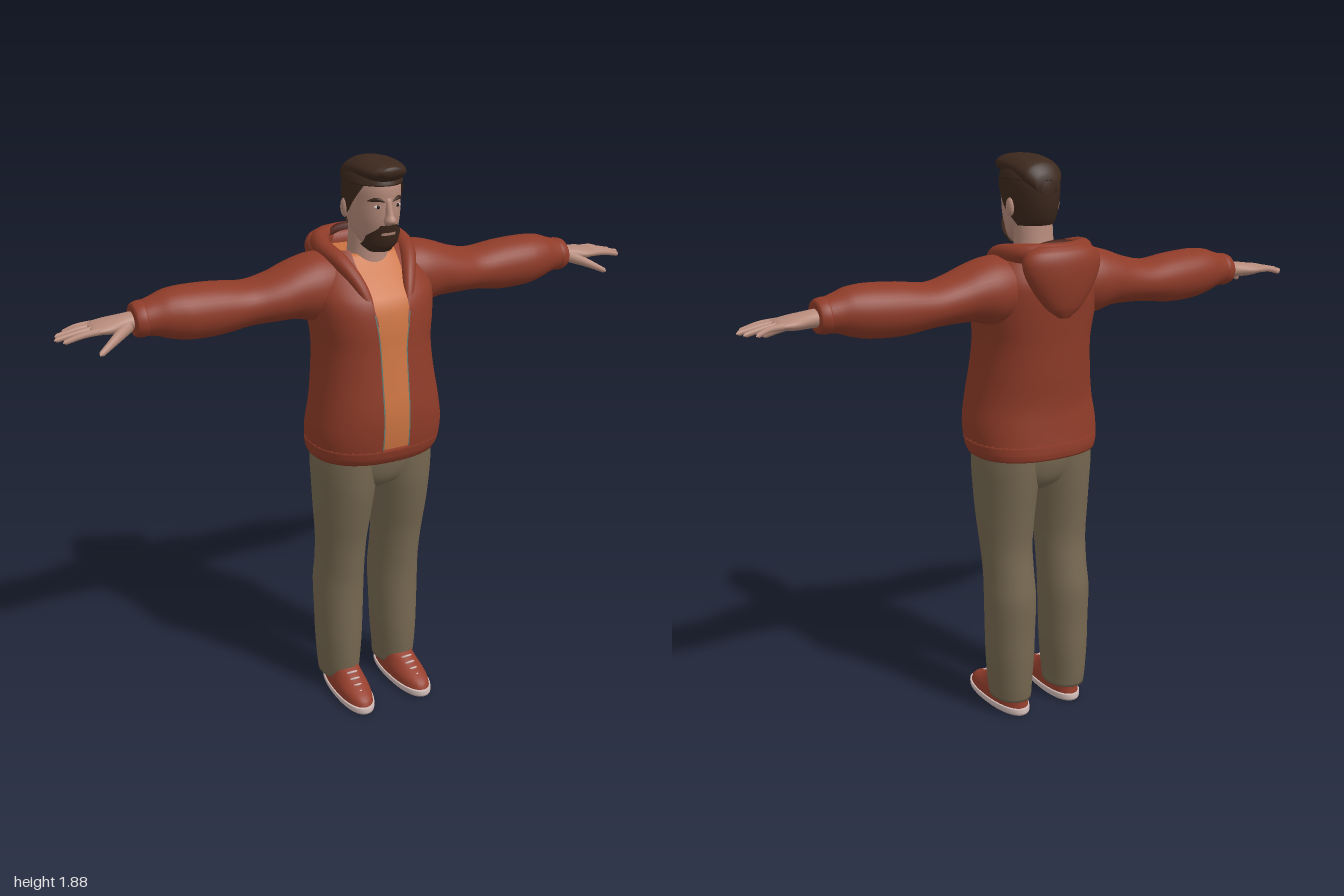
import * as THREE from 'three';

const paint = (name, color, side = THREE.FrontSide) => {
  const m = new THREE.MeshStandardMaterial({ color, side });
  m.name = name;
  return m;
};

const mix = THREE.MathUtils.lerp;
const TAU = Math.PI * 2;

// Smooth value of a section list [t, centreU, centreV, radiusU, radiusV] at t
function sectionAt(list, t) {
  let i = 0;
  while (i < list.length - 2 && t > list[i + 1][0]) i++;
  const [a, b] = [list[i], list[i + 1]];
  const p = list[Math.max(i - 1, 0)], q = list[Math.min(i + 2, list.length - 1)];
  const d = b[0] - a[0], u = (t - a[0]) / d;
  return a.map((v, k) => {
    const m0 = (b[k] - p[k]) / (b[0] - p[0]) * d, m1 = (q[k] - v) / (q[0] - a[0]) * d;
    return v * (1 + u * u * (2 * u - 3)) + b[k] * u * u * (3 - 2 * u)
      + m0 * u * (1 - u) ** 2 + m1 * u * u * (u - 1);
  });
}

// Skin over cross-sections along an axis (0 x, 1 y, 2 z); an arc leaves the surface open
function loft(list, { axis = 1, n = 36, sub = 4, pow = 1, grow = 0, from, to, arc } = {}) {
  const lo = from ?? list[0][0], hi = to ?? list.at(-1)[0];
  const ts = [lo];
  for (let i = 0; i < list.length - 1; i++)
    for (let k = 0; k < sub; k++) {
      const t = mix(list[i][0], list[i + 1][0], k / sub);
      if (t > lo + 1e-4 && t < hi - 1e-4) ts.push(t);
    }
  ts.push(hi);
  const pos = [], idx = [], U = (axis + 1) % 3, V = (axis + 2) % 3;
  const bend = (v) => Math.sign(v) * Math.abs(v) ** pow;
  const ring = (t, size) => {
    const [, cu, cv, ru, rv] = sectionAt(list, t);
    const [a0, a1] = arc ? arc(t, rv) : [0, TAU];
    for (let j = 0; j <= n; j++) {
      const a = mix(a0, a1, j / n), p = [0, 0, 0];
      p[axis] = t;
      p[U] = cu + size * (ru + grow) * bend(Math.cos(a));
      p[V] = cv + size * (rv + grow) * bend(Math.sin(a));
      pos.push(...p);
    }
  };
  if (!arc) ring(lo, 0);
  ts.forEach((t) => ring(t, 1));
  if (!arc) ring(hi, 0);
  const w = n + 1, rows = pos.length / 3 / w;
  const at = (i, j) => i * w + (arc ? j : j % n);
  for (let i = 0; i < rows - 1; i++)
    for (let j = 0; j < n; j++) {
      const a = at(i, j), b = at(i, j + 1), c = at(i + 1, j), d = at(i + 1, j + 1);
      idx.push(a, b, d, a, d, c);
    }
  const g = new THREE.BufferGeometry();
  g.setAttribute('position', new THREE.Float32BufferAttribute(pos, 3));
  g.setIndex(idx);
  g.computeVertexNormals();
  return g;
}

// Tube whose radius follows a function of its length
function taperTube(points, radius, steps = 16, sides = 10) {
  const curve = new THREE.CatmullRomCurve3(points.map((p) => new THREE.Vector3(...p)));
  const g = new THREE.TubeGeometry(curve, steps, 1, sides);
  const v = new THREE.Vector3(), P = g.attributes.position;
  for (let i = 0; i < P.count; i++) {
    const u = Math.floor(i / (sides + 1)) / steps, c = curve.getPointAt(u);
    v.fromBufferAttribute(P, i).sub(c).multiplyScalar(radius(u)).add(c);
    P.setXYZ(i, v.x, v.y, v.z);
  }
  return g;
}

export function createModel() {
  const jacket = paint('jacket red', 0x8e3b28, THREE.DoubleSide);
  const lining = paint('hood lining', 0x4a2118);
  const shirt = paint('shirt orange', 0xcc7442);
  const zip = paint('zip grey green', 0x5f7a72, THREE.DoubleSide);
  const trousers = paint('trouser khaki', 0x766851);
  const skin = paint('skin', 0xb58a7a, THREE.DoubleSide);
  const hair = paint('hair brown', 0x3c281d, THREE.DoubleSide);
  const shoe = paint('shoe red', 0x963f2d);
  const pale = paint('sole white', 0xd2bcb8);
  const dark = paint('pupil dark', 0x1c1512);

  const model = new THREE.Group();
  const add = (name, geometry, material, parent = model) => {
    const m = new THREE.Mesh(geometry, material);
    m.name = name;
    parent.add(m);
    return m;
  };
  const ball = (name, material, parent, p, s) => {
    const m = add(name, new THREE.SphereGeometry(1, 16, 12), material, parent);
    m.position.set(...p);
    m.scale.set(...s);
  };

  // Torso: open jacket over a shirt
  const torso = [
    [0.925, 0.02, 0, 0.172, 0.213], [0.95, 0.025, 0, 0.18, 0.22], [1.02, 0.035, 0, 0.182, 0.223],
    [1.1, 0.04, 0, 0.18, 0.21], [1.2, 0.03, 0, 0.178, 0.195], [1.3, 0.02, 0, 0.175, 0.188],
    [1.38, 0.012, 0, 0.175, 0.198], [1.45, 0, 0, 0.168, 0.205], [1.5, -0.02, 0, 0.145, 0.2],
    [1.55, -0.035, 0, 0.11, 0.175], [1.59, -0.045, 0, 0.085, 0.13]];
  const pow = 0.85;
  const angle = (w, rv) => Math.asin(Math.min(1, w / rv) ** (1 / pow));
  const edge = (t, base) => mix(base, 0.075, THREE.MathUtils.smoothstep(t, 1.28, 1.56));
  add('jacketHem', loft(torso, { pow, n: 48, to: 0.978 }), jacket);
  add('jacketBody', loft(torso, {
    pow, n: 60, from: 0.975,
    arc: (t, rv) => [angle(edge(t, 0.037), rv), TAU - angle(edge(t, 0.052), rv)],
  }), jacket);
  add('shirt', loft(torso, { pow, n: 60, grow: -0.008, from: 0.95, to: 1.578 }), shirt);
  for (const [s, base] of [[1, 0.037], [-1, 0.052]])
    add('zip', loft(torso, {
      pow, n: 2, grow: 0.001, from: 0.98, to: 1.42,
      arc: (t, rv) => [-0.002, 0.002].map((d) => s * angle(edge(t, base) + s * d, rv)),
    }), zip);

  // Hood: collar roll and hanging bag
  const half = [[0.05, 1.38, 0.172], [0.085, 1.5, 0.115], [0.118, 1.565, 0.045],
    [0.132, 1.588, -0.04], [0.1, 1.595, -0.125]];
  const flip = (pts) => pts.map(([x, y, z]) => [-x, y, z]).reverse();
  add('hoodCollar', taperTube([...half, [0, 1.595, -0.165], ...flip(half)],
    (u) => 0.004 + 0.028 * Math.sin(Math.PI * u) ** 0.6, 60, 14), jacket);
  add('hoodBag', loft([
    [1.395, -0.18, 0, 0.01, 0.02], [1.43, -0.175, 0, 0.032, 0.065], [1.5, -0.168, 0, 0.052, 0.115],
    [1.56, -0.163, 0, 0.058, 0.138], [1.6, -0.16, 0, 0.05, 0.125], [1.62, -0.16, 0, 0.028, 0.085]]), jacket);
  add('hoodLining', taperTube([[0.09, 1.6, -0.1], [0.06, 1.61, -0.13], [0, 1.613, -0.142],
    [-0.06, 1.61, -0.13], [-0.09, 1.6, -0.1]], (u) => 0.002 + 0.018 * Math.sin(Math.PI * u), 24), lining);

  // Head and neck
  add('neck', loft([[1.5, 0, 0, 0.068, 0.075], [1.56, 0, 0, 0.064, 0.068],
    [1.62, 0.004, 0, 0.06, 0.064], [1.69, 0.01, 0, 0.06, 0.064]]), skin);
  const head = [
    [1.597, 0.08, 0, 0.022, 0.026], [1.62, 0.066, 0, 0.052, 0.05], [1.66, 0.042, 0, 0.088, 0.068],
    [1.7, 0.035, 0, 0.104, 0.076], [1.75, 0.03, 0, 0.11, 0.08], [1.8, 0.03, 0, 0.11, 0.08],
    [1.84, 0.03, 0, 0.09, 0.066], [1.86, 0.03, 0, 0.05, 0.04]];
  add('head', loft(head), skin);
  add('nose', loft([[1.686, 0.138, 0, 0.008, 0.012], [1.7, 0.146, 0, 0.023, 0.018],
    [1.72, 0.142, 0, 0.017, 0.012], [1.768, 0.133, 0, 0.01, 0.01]], { n: 16 }), skin);
  const side = (w, rv) => Math.asin(Math.min(1, w / rv));
  const patch = (from, to, grow, width) => loft(head, {
    from, to, grow, n: 20, sub: 6,
    arc: (t, rv) => [-side(width(t), rv), side(width(t), rv)],
  });
  add('beard', patch(1.597, 1.688, 0.01, (t) => mix(0.052, 0.026, THREE.MathUtils.smoothstep(t, 1.65, 1.688))), hair);
  add('lips', patch(1.655, 1.664, 0.012, () => 0.02), skin);

  // Hair: back and sides, crown and swept-up front
  add('hairBack', loft(head, {
    from: 1.665, to: 1.81, grow: 0.007,
    arc: (t) => {
      const a = t > 1.72 ? mix(1.5, 0.85, (t - 1.72) / 0.09) : mix(2.1, 1.5, (t - 1.665) / 0.055);
      return [a, TAU - a];
    },
  }), hair);
  add('hairCrown', loft(head, { from: 1.806, grow: 0.008 }), hair);
  add('hairQuiff', loft([
    [-0.085, 0, 1.79, 0.04, 0.03], [-0.05, 0, 1.818, 0.068, 0.042], [0.02, 0, 1.838, 0.076, 0.04],
    [0.09, 0, 1.845, 0.073, 0.033], [0.14, 0, 1.845, 0.058, 0.027], [0.163, 0, 1.851, 0.03, 0.012]],
  { axis: 2 }), hair);

  // Trouser seat
  add('trouserSeat', loft([[0.79, 0.02, 0, 0.06, 0.035], [0.83, 0.02, 0, 0.115, 0.13],
    [0.9, 0.02, 0, 0.138, 0.19], [0.96, 0.02, 0, 0.14, 0.2]]), trousers);

  for (const s of [1, -1]) {
    const half = new THREE.Group();
    half.name = s > 0 ? 'leftSide' : 'rightSide';
    half.scale.x = s;
    model.add(half);

    // Face details
    ball('ear', skin, half, [0.083, 1.722, 0.008], [0.011, 0.03, 0.019]);
    ball('eye', pale, half, [0.033, 1.743, 0.129], [0.013, 0.006, 0.006]);
    ball('pupil', dark, half, [0.033, 1.743, 0.132], [0.0055, 0.0055, 0.0055]);
    add('eyebrow', taperTube([[0.013, 1.758, 0.14], [0.035, 1.766, 0.132], [0.058, 1.76, 0.108]],
      (u) => 0.001 + 0.005 * Math.sin(Math.PI * u)), hair, half);

    // Sleeve and cuff
    add('sleeve', loft([
      [0.1, 1.478, -0.03, 0.1, 0.1], [0.18, 1.475, -0.03, 0.108, 0.11], [0.25, 1.475, -0.03, 0.091, 0.105],
      [0.32, 1.463, -0.03, 0.077, 0.098], [0.4, 1.453, -0.037, 0.07, 0.09], [0.5, 1.452, -0.035, 0.082, 0.09],
      [0.6, 1.456, -0.03, 0.083, 0.088], [0.66, 1.46, -0.03, 0.074, 0.077], [0.7, 1.46, -0.03, 0.06, 0.065],
      [0.74, 1.457, -0.03, 0.051, 0.057]], { axis: 0 }), jacket, half);
    add('cuff', loft([[0.725, 1.457, -0.03, 0.05, 0.056], [0.735, 1.457, -0.03, 0.055, 0.061],
      [0.76, 1.456, -0.03, 0.05, 0.055], [0.765, 1.456, -0.03, 0.042, 0.047]], { axis: 0 }), jacket, half);

    // Hand
    add('palm', loft([[0.74, 1.455, -0.035, 0.028, 0.032], [0.79, 1.452, -0.035, 0.026, 0.038],
      [0.84, 1.449, -0.036, 0.022, 0.052], [0.88, 1.448, -0.036, 0.015, 0.05],
      [0.895, 1.447, -0.036, 0.009, 0.045]], { axis: 0, n: 24 }), skin, half);
    [[-0.078, 0.962], [-0.052, 0.99], [-0.023, 1], [0.006, 0.982]].forEach(([z, tip]) =>
      add('finger', taperTube([[0.865, 1.449, z * 0.9 - 0.003], [0.92, 1.446, z], [tip, 1.432, z * 1.08]],
        (u) => u > 0.99 ? 0.001 : 0.0115 - 0.004 * u), skin, half));
    add('thumb', taperTube([[0.785, 1.445, -0.01], [0.835, 1.425, 0.028], [0.893, 1.396, 0.06]],
      (u) => u > 0.99 ? 0.001 : 0.02 - 0.012 * u), skin, half);

    // Trouser leg
    add('trouserLeg', loft([
      [0.055, -0.017, 0.108, 0.086, 0.067], [0.1, -0.015, 0.109, 0.094, 0.07], [0.2, -0.015, 0.108, 0.1, 0.077],
      [0.3, -0.015, 0.107, 0.1, 0.081], [0.42, -0.016, 0.106, 0.102, 0.084], [0.5, -0.006, 0.105, 0.1, 0.082],
      [0.6, 0.008, 0.106, 0.1, 0.085], [0.7, 0.016, 0.105, 0.115, 0.093], [0.8, 0.02, 0.102, 0.131, 0.1],
      [0.88, 0.02, 0.1, 0.138, 0.105], [0.95, 0.02, 0.1, 0.14, 0.1]]), trousers, half);

    // Shoe
    const foot = new THREE.Group();
    foot.name = 'foot';
    foot.position.x = 0.105;
    foot.rotation.y = 0.04;
    half.add(foot);
    add('sole', loft([[0, 0.06, 0, 0.158, 0.056], [0.008, 0.06, 0, 0.163, 0.061], [0.026, 0.06, 0, 0.162, 0.061]],
      { pow: 0.9 }), pale, foot);
    add('shoeUpper', loft([[0.022, 0.06, 0, 0.156, 0.058], [0.05, 0.052, 0, 0.145, 0.056],
      [0.078, 0.02, 0, 0.115, 0.05], [0.1, 0, 0, 0.092, 0.046], [0.12, -0.02, 0, 0.06, 0.042]],
    { pow: 0.9 }), shoe, foot);
    for (let i = 0; i < 4; i++) {
      const z = 0.095 + 0.022 * i, y = 0.1 - 0.0125 * i;
      add('lace', taperTube([[-0.027, y - 0.011, z - 0.008], [0, y, z + 0.004], [0.027, y - 0.011, z - 0.008]],
        () => 0.004, 8, 6), pale, foot);
    }
  }
  return model;
}
